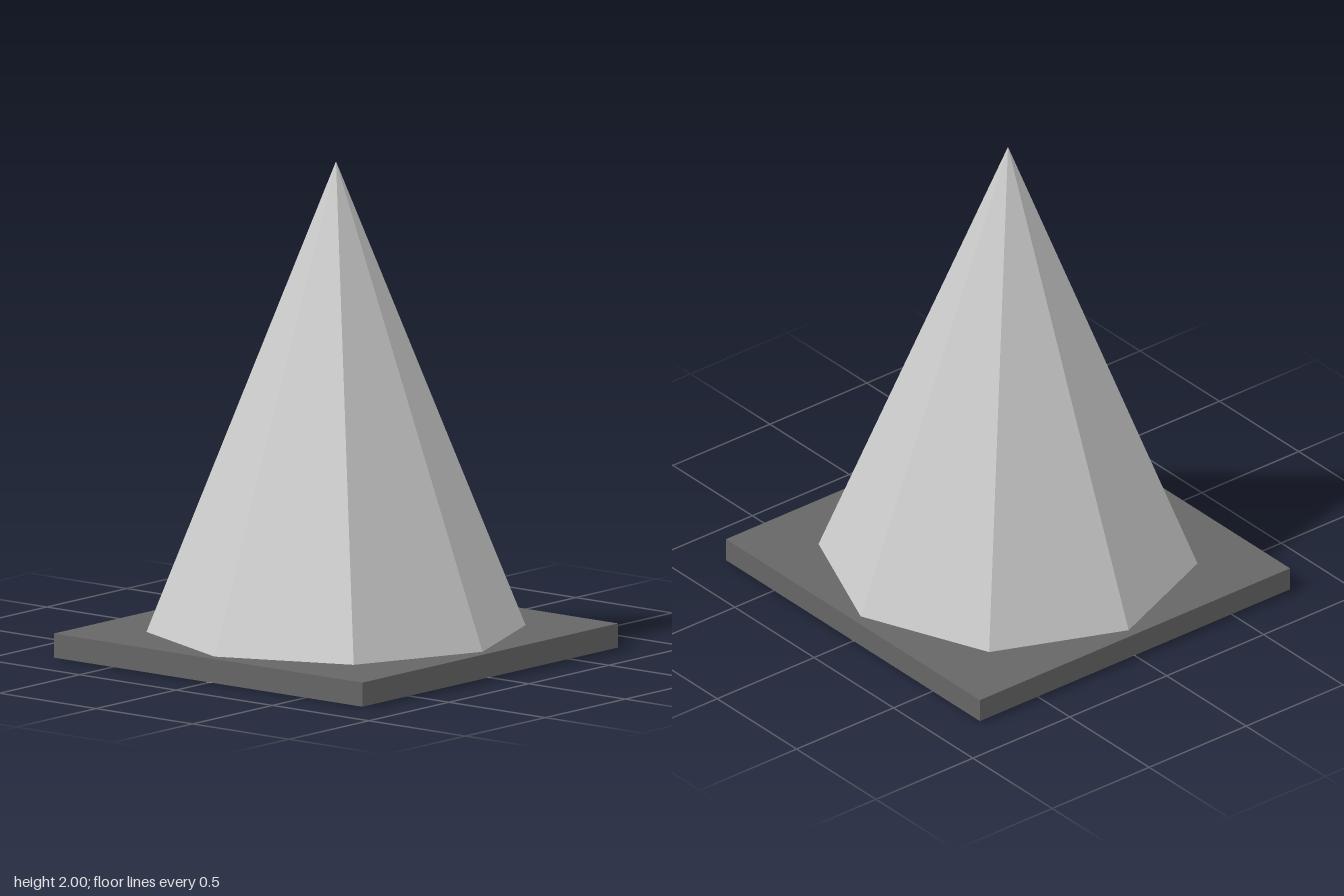
import * as THREE from 'three';

const SIDES = 8;

// Eight-sided cone standing on height y
function cone(name, radius, height, y, color) {
  const mesh = new THREE.Mesh(
    new THREE.ConeGeometry(radius, height, SIDES),
    new THREE.MeshStandardMaterial({ color, flatShading: true })
  );
  mesh.name = name;
  mesh.position.y = y + height / 2;
  return mesh;
}

export function createModel() {
  const group = new THREE.Group();
  group.name = 'cone';

  // Square plate, its underside a hair above the cone's bottom cap
  const gap = 0.002;
  const plate = new THREE.Mesh(
    new THREE.BoxGeometry(1.6, 0.1 - gap, 1.6),
    new THREE.MeshStandardMaterial({ color: 0x666666, flatShading: true })
  );
  plate.name = 'basePlate';
  plate.position.y = (0.1 + gap) / 2;
  group.add(plate);

  // Outer cone passes through the plate to the ground; coloured core nests inside
  group.add(cone('coneShell', 0.8, 2, 0, 0xcccccc));
  group.add(cone('coneCore', 0.79, 1.97, 0.001, 0xffb74d));

  return group;
}
